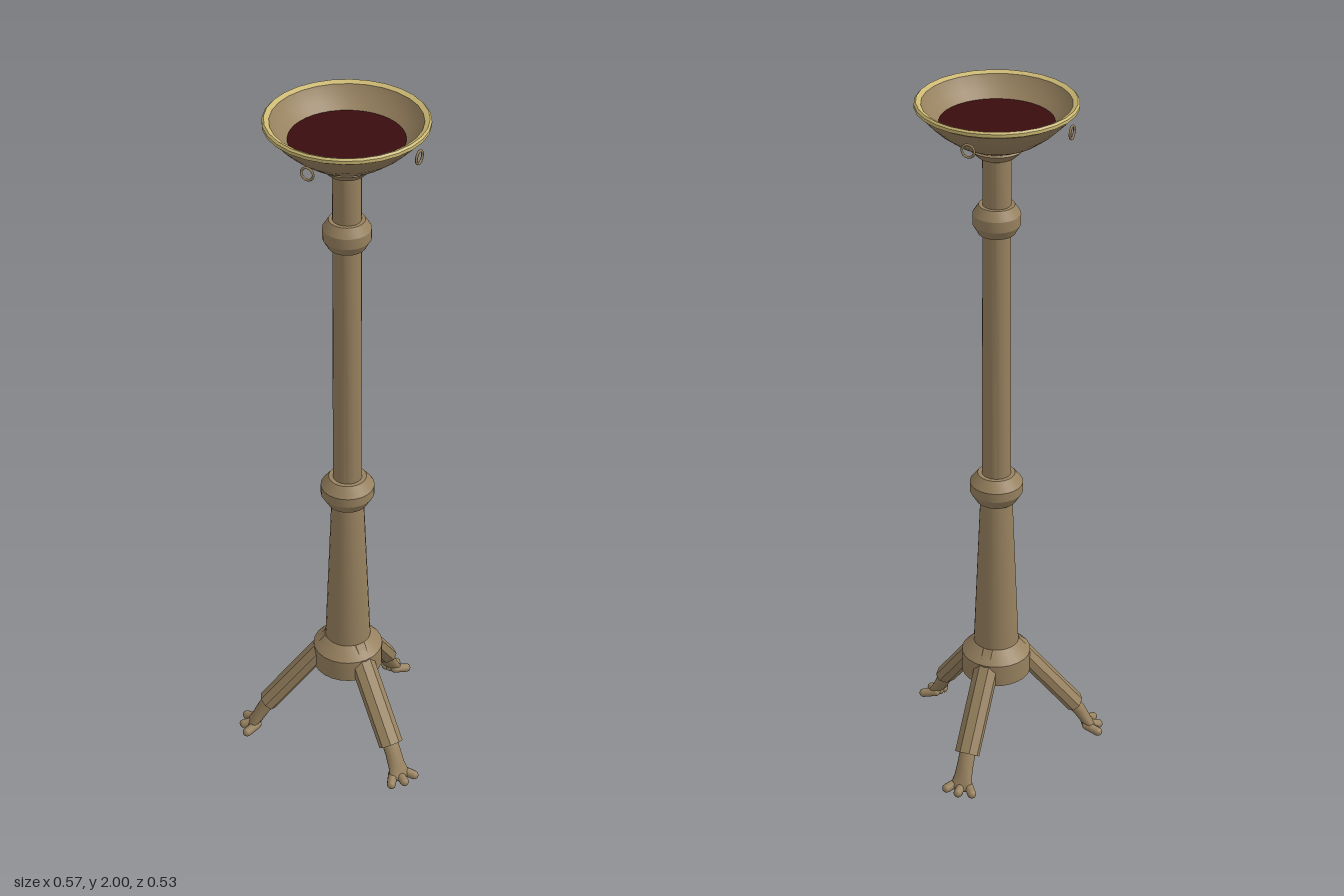
import * as THREE from 'three';
import { toCreasedNormals } from 'three/addons/utils/BufferGeometryUtils.js';

const wood = new THREE.MeshStandardMaterial({ name: 'bronze brown', color: 0x97815f });
const gold = new THREE.MeshStandardMaterial({ name: 'pale gold', color: 0xcbb873 });
const red = new THREE.MeshStandardMaterial({ name: 'dark red', color: 0x3a0c0e });

function add(parent, name, geometry, material) {
  const mesh = new THREE.Mesh(geometry, material);
  mesh.name = name;
  parent.add(mesh);
  return mesh;
}

// Turned part from [radius, height] pairs, listed bottom to top on the outside
function turned(points, segments = 24) {
  const profile = points.map(([r, y]) => new THREE.Vector2(r, y));
  return toCreasedNormals(new THREE.LatheGeometry(profile, segments), 0.5);
}

// Lays a y-aligned mesh between two points
function between(mesh, a, b) {
  mesh.position.copy(a).add(b).multiplyScalar(0.5);
  mesh.quaternion.setFromUnitVectors(new THREE.Vector3(0, 1, 0), b.clone().sub(a).normalize());
}

// Skin over elliptical sections [z, y, halfWidth, halfHeight, downward tilt]
function loft(sections, sides = 12) {
  const positions = [], index = [];
  sections.forEach(([z, y, w, h, tilt], i) => {
    for (let j = 0; j < sides; j++) {
      const a = (j / sides) * Math.PI * 2, up = h * Math.sin(a);
      positions.push(w * Math.cos(a), y + up * Math.cos(tilt), z + up * Math.sin(tilt));
      if (i === 0) continue;
      const k = (j + 1) % sides, p = (i - 1) * sides, q = i * sides;
      index.push(p + j, p + k, q + j, p + k, q + k, q + j);
    }
  });
  const g = new THREE.BufferGeometry();
  g.setAttribute('position', new THREE.Float32BufferAttribute(positions, 3));
  g.setIndex(index);
  g.computeVertexNormals();
  return g;
}

// One leg reaching out along +z, with a three-toed paw
function createLeg() {
  const leg = new THREE.Group();
  leg.name = 'leg';

  const top = new THREE.Vector3(0, 0.335, 0.045), ankle = new THREE.Vector3(0, 0.1, 0.232);
  const shape = new THREE.CylinderGeometry(1, 1, top.distanceTo(ankle), 8);
  shape.rotateY(Math.PI / 8);
  shape.scale(0.036, 1, 0.028);
  between(add(leg, 'legShaft', toCreasedNormals(shape, 0.4), wood), top, ankle);

  add(leg, 'paw', loft([
    [0.22, 0.112, 0.024, 0.021, 0.9],
    [0.245, 0.075, 0.024, 0.019, 0.95],
    [0.262, 0.045, 0.026, 0.017, 0.85],
    [0.277, 0.024, 0.031, 0.014, 0.5],
    [0.288, 0.015, 0.028, 0.01, 0.2],
    [0.293, 0.013, 0.004, 0.002, 0],
  ]), wood);

  for (const side of [-1, 0, 1]) {
    const root = new THREE.Vector3(side * 0.015, 0.022, 0.266);
    const tip = new THREE.Vector3(side * 0.038, 0.013, side ? 0.295 : 0.304);
    const toe = new THREE.CapsuleGeometry(0.013, root.distanceTo(tip), 4, 10);
    between(add(leg, 'toe', toe, wood), root, tip);
  }
  return leg;
}

export function createModel() {
  const model = new THREE.Group();
  model.name = 'bowlStand';
  const stand = new THREE.Group();
  stand.name = 'stand';
  stand.position.z = 0.05;
  model.add(stand);

  // Column with flared foot, two collars and a neck ring
  add(stand, 'column', turned([
    [0, 0.25], [0.098, 0.25], [0.098, 0.315], [0.064, 0.35],
    [0.045, 0.815], [0.056, 0.815], [0.074, 0.845], [0.074, 0.872], [0.052, 0.9], [0.04, 0.9],
    [0.038, 1.63], [0.05, 1.63], [0.064, 1.655], [0.064, 1.685], [0.048, 1.71], [0.038, 1.71],
    [0.038, 1.845], [0.05, 1.848], [0.075, 1.872], [0.06, 1.885],
  ]), wood);

  // Hollow bowl
  add(stand, 'bowl', turned([
    [0.03, 1.872], [0.075, 1.878], [0.115, 1.898], [0.155, 1.928], [0.185, 1.957], [0.206, 1.984],
  ], 28), wood);
  add(stand, 'bowlInside', turned([
    [0.195, 1.994], [0.19, 1.985], [0.172, 1.96], [0.148, 1.938],
  ], 28), wood);
  add(stand, 'bowlRim', turned([
    [0.204, 1.981], [0.213, 1.986], [0.213, 1.995], [0.208, 2], [0.195, 1.994],
  ], 28), gold);

  // Dark filling
  const filling = add(stand, 'filling', new THREE.CircleGeometry(0.15, 40), red);
  filling.rotation.x = -Math.PI / 2;
  filling.position.y = 1.942;

  // Four hanging rings around the bowl
  for (let i = 0; i < 4; i++) {
    const a = (i * Math.PI) / 2;
    const ring = add(stand, 'ring', new THREE.TorusGeometry(0.017, 0.0035, 6, 16), wood);
    ring.position.set(Math.sin(a) * 0.204, 1.942, Math.cos(a) * 0.204);
    ring.rotation.y = a;
  }

  // Three legs, one pointing straight back
  for (const turn of [Math.PI, Math.PI / 3, -Math.PI / 3]) {
    const leg = createLeg();
    leg.rotation.y = turn;
    stand.add(leg);
  }
  return model;
}
